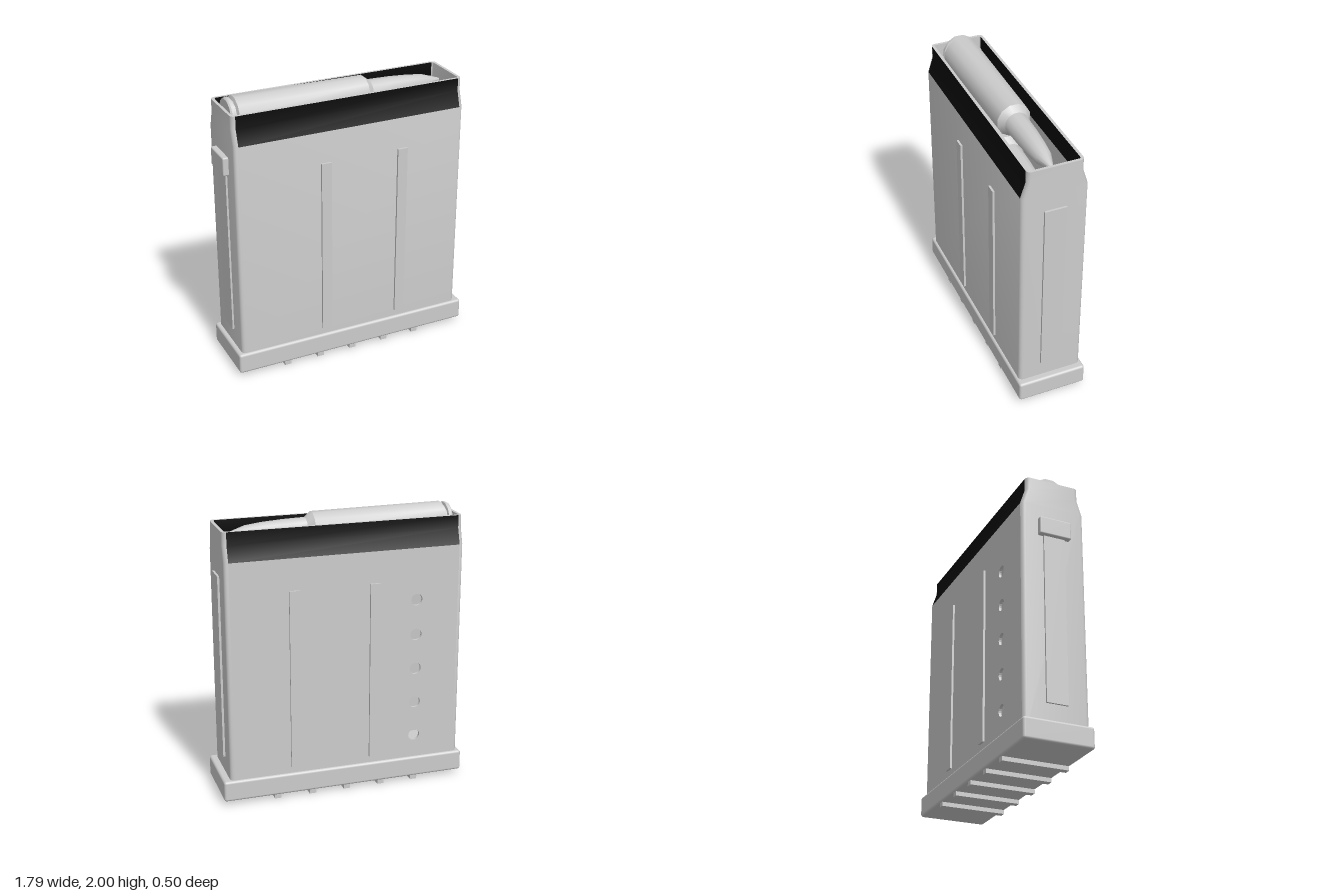
import * as THREE from 'three';
import { toCreasedNormals } from 'three/addons/utils/BufferGeometryUtils.js';
import { RoundedBoxGeometry } from 'three/addons/geometries/RoundedBoxGeometry.js';

const grey = new THREE.MeshStandardMaterial({ color: 0xcccccc });
grey.name = 'lightGrey';
const black = new THREE.MeshStandardMaterial({ color: 0x0a0a0a });
black.name = 'black';

const CX = -0.01;      // the casing sits slightly off centre
const HALF_X = 0.85;
const WALL = 0.02;
const CORNER = 0.03;
const STEPS = 4;       // segments per rounded corner

// Rounded rectangle at height y, counterclockwise from above
function ring(y, inset, halfZ) {
  const r = CORNER - inset;
  const points = [];
  for (let c = 0; c < 4; c++) {
    const sx = c === 0 || c === 3 ? 1 : -1;
    const sz = c < 2 ? -1 : 1;
    for (let s = 0; s <= STEPS; s++) {
      const a = (c + s / STEPS) * Math.PI / 2;
      points.push([
        CX + sx * (HALF_X - inset - r) + r * Math.cos(a), y,
        sz * (halfZ - r) - r * Math.sin(a),
      ]);
    }
  }
  return points;
}

// Casing walls: up the outside, over the rim, down the inside
function casingGeometries() {
  const rings = [
    ring(0.15, 0, 0.23), ring(1.74, 0, 0.23), ring(1.85, 0, 0.195), ring(1.94, 0, 0.195),
    ring(1.94, WALL, 0.175), ring(1.85, WALL, 0.175), ring(1.74, WALL, 0.21), ring(0.15, WALL, 0.21),
  ];
  const back = STEPS, front = 3 * STEPS + 2;
  const shell = [], bands = [];
  for (let row = 0; row < rings.length - 1; row++) {
    const a = rings[row], b = rings[row + 1], n = a.length;
    for (let i = 0; i < n; i++) {
      const j = (i + 1) % n;
      const lower = row === 0 || row === 6;
      if (lower && i === back) continue; // filled by the panel with holes
      const painted = !lower && row !== 3 && (i === back || i === front);
      (painted ? bands : shell).push(...a[i], ...a[j], ...b[j], ...a[i], ...b[j], ...b[i]);
    }
  }
  return [shell, bands].map((data) => {
    const g = new THREE.BufferGeometry();
    g.setAttribute('position', new THREE.Float32BufferAttribute(data, 3));
    g.computeVertexNormals();
    return toCreasedNormals(g, 0.5);
  });
}

// Lower back wall with a column of round inspection holes
function backPanelGeometry() {
  const h = HALF_X - CORNER;
  const shape = new THREE.Shape();
  shape.moveTo(CX - h, 0.15);
  shape.lineTo(CX + h, 0.15);
  shape.lineTo(CX + h, 1.74);
  shape.lineTo(CX - h, 1.74);
  shape.closePath();
  for (let i = 0; i < 5; i++) {
    const hole = new THREE.Path();
    hole.absarc(-0.52, 0.35 + i * 0.255, 0.042, 0, Math.PI * 2, true);
    shape.holes.push(hole);
  }
  const g = new THREE.ExtrudeGeometry(shape, { depth: WALL, bevelEnabled: false, curveSegments: 10 });
  return g.translate(0, 0, -0.23);
}

// Round lying along x, nose towards +x; pairs are [x, radius]
function cartridgeGeometry() {
  const profile = [
    [-0.825, 0], [-0.825, 0.115], [-0.815, 0.123], [-0.795, 0.123], [-0.79, 0.105], [-0.78, 0.105],
    [-0.77, 0.129], [0.175, 0.12], [0.22, 0.083], [0.38, 0.079], [0.52, 0.07], [0.64, 0.056],
    [0.77, 0.012], [0.775, 0],
  ].map(([x, r]) => new THREE.Vector2(r, x));
  const g = new THREE.LatheGeometry(profile, 12, Math.PI / 12);
  g.rotateZ(-Math.PI / 2);
  return toCreasedNormals(g, 0.56);
}

export function createModel() {
  const model = new THREE.Group();
  model.name = 'boxMagazine';

  const add = (name, geometry, material = grey, x = 0, y = 0, z = 0) => {
    const mesh = new THREE.Mesh(geometry, material);
    mesh.name = name;
    mesh.position.set(x, y, z);
    model.add(mesh);
    return mesh;
  };
  // Box given by its limits, optionally rounded
  const box = (name, x0, x1, y0, y1, z0, z1, r = 0) => {
    const size = [x1 - x0, y1 - y0, z1 - z0];
    const g = r ? new RoundedBoxGeometry(...size, 3, r) : new THREE.BoxGeometry(...size);
    return add(name, g, grey, (x0 + x1) / 2, (y0 + y1) / 2, (z0 + z1) / 2);
  };

  // Casing
  const [shell, bands] = casingGeometries();
  add('casing', shell);
  add('upperBands', bands, black);
  add('backPanel', backPanelGeometry());

  // Raised ribs on the front and back
  for (const x of [-0.2125, 0.365]) {
    box('frontRib', x - 0.037, x + 0.037, 0.23, 1.515, 0.22, 0.245);
    box('backRib', x - 0.037, x + 0.037, 0.23, 1.515, -0.245, -0.22);
  }

  // End plates and catch lug
  box('leftEndPlate', 0.83, 0.855, 0.3, 1.615, -0.077, 0.077);
  box('rightEndPlate', -0.873, -0.85, 0.3, 1.615, -0.077, 0.077);
  box('catchLug', -0.9, -0.855, 1.5, 1.63, -0.115, 0.115, 0.01);

  // Base plate with grip bars underneath
  box('basePlate', -0.89, 0.89, 0.03, 0.18, -0.248, 0.248, 0.018);
  for (let i = -2; i <= 2; i++) {
    const x = -0.01 + i * 0.256;
    box('gripBar', x - 0.024, x + 0.024, 0, 0.05, -0.237, 0.237);
  }

  // Two staggered rounds
  const round = cartridgeGeometry();
  add('topCartridge', round, grey, 0, 1.875, -0.003);
  add('lowerCartridge', round, grey, 0, 1.64, 0.04);

  return model;
}
